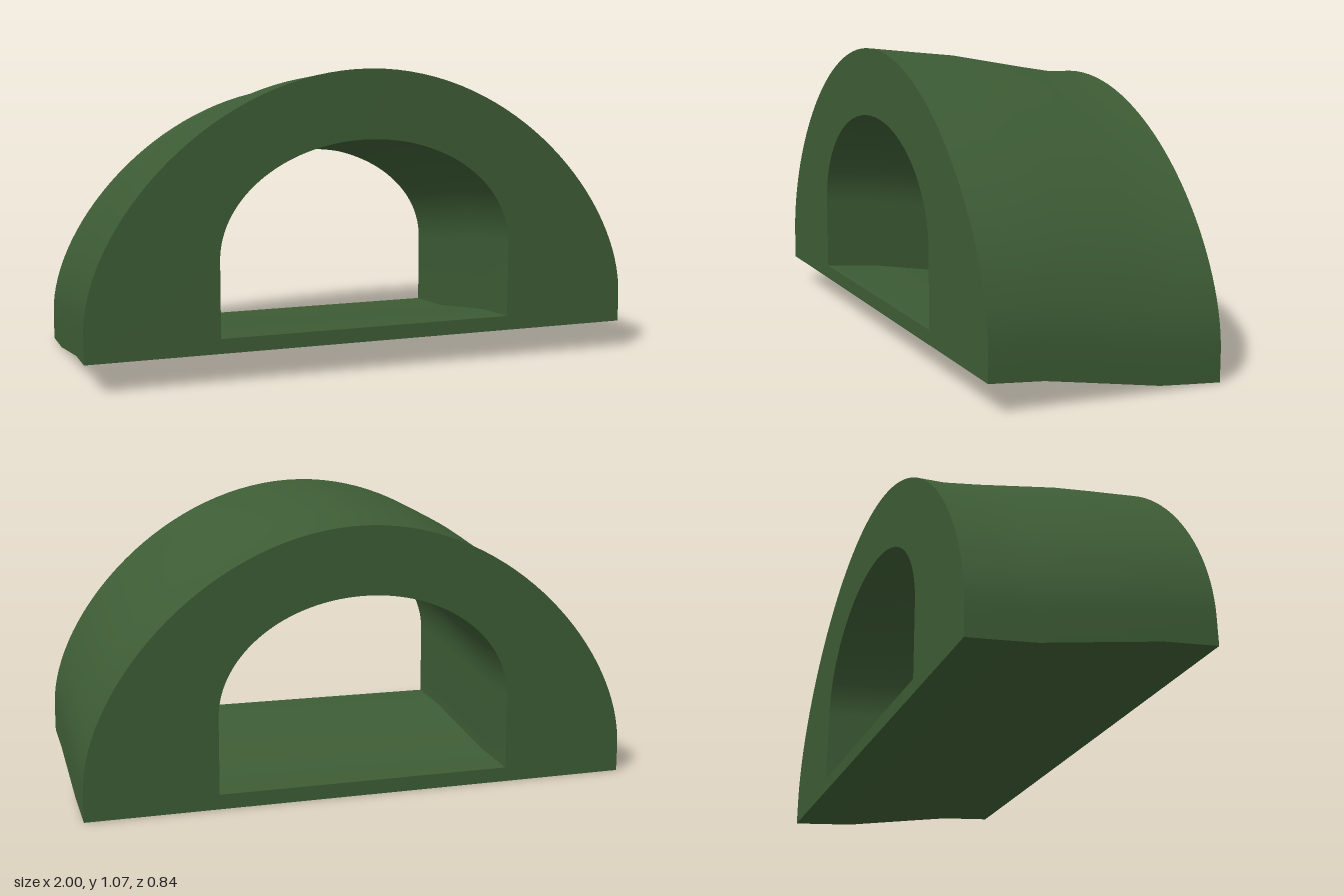
import * as THREE from 'three';
import { toCreasedNormals } from 'three/addons/utils/BufferGeometryUtils.js';

// Straight-sided arch with a flat floor; rise and reach are the lengths of the
// curve handles at the spring line and at the crown
function traceArch(path, halfWidth, floor, spring, crown, rise, reach) {
  path.moveTo(-halfWidth, floor);
  path.lineTo(halfWidth, floor);
  path.lineTo(halfWidth, spring);
  path.bezierCurveTo(halfWidth, spring + rise, reach, crown, 0, crown);
  path.bezierCurveTo(-reach, crown, -halfWidth, spring + rise, -halfWidth, spring);
  path.lineTo(-halfWidth, floor);
  return path;
}

export function createModel() {
  const group = new THREE.Group();
  group.name = 'archedTunnel';
  const green = new THREE.MeshStandardMaterial({ color: 0x3d5c35 });
  green.name = 'mossGreen';

  // Stations along the tunnel: z, rise of the floor, rise of the crown
  const stations = [
    [-0.422, 0.0, 0.0],
    [-0.32, 0.008, 0.001],
    [-0.19, 0.019, 0.022],
    [-0.15, 0.026, 0.029],
    [0.1, 0.069, 0.073],
    [0.23, 0.091, 0.086],
    [0.422, 0.107, 0.106],
  ];
  const height = 0.961;

  // Thick arched shell with the passage cut through it
  const section = traceArch(new THREE.Shape(), 1, 0, 0.1, height, 0.36, 0.55);
  section.holes.push(traceArch(new THREE.Path(), 0.537, 0.052, 0.32, 0.717, 0.22, 0.297));
  const steps = stations.length - 1;
  const geometry = new THREE.ExtrudeGeometry(section, {
    depth: steps, steps, bevelEnabled: false, curveSegments: 32,
  });

  // Move each cross-section to its station and lift it along the slope
  const p = geometry.attributes.position;
  for (let i = 0; i < p.count; i++) {
    const [z, low, high] = stations[Math.round(p.getZ(i))];
    const y = p.getY(i);
    p.setY(i, y + THREE.MathUtils.lerp(low, high, y / height));
    p.setZ(i, z);
  }
  geometry.clearGroups();

  const shell = new THREE.Mesh(toCreasedNormals(geometry, 0.7), green);
  shell.name = 'tunnelShell';
  group.add(shell);
  return group;
}
